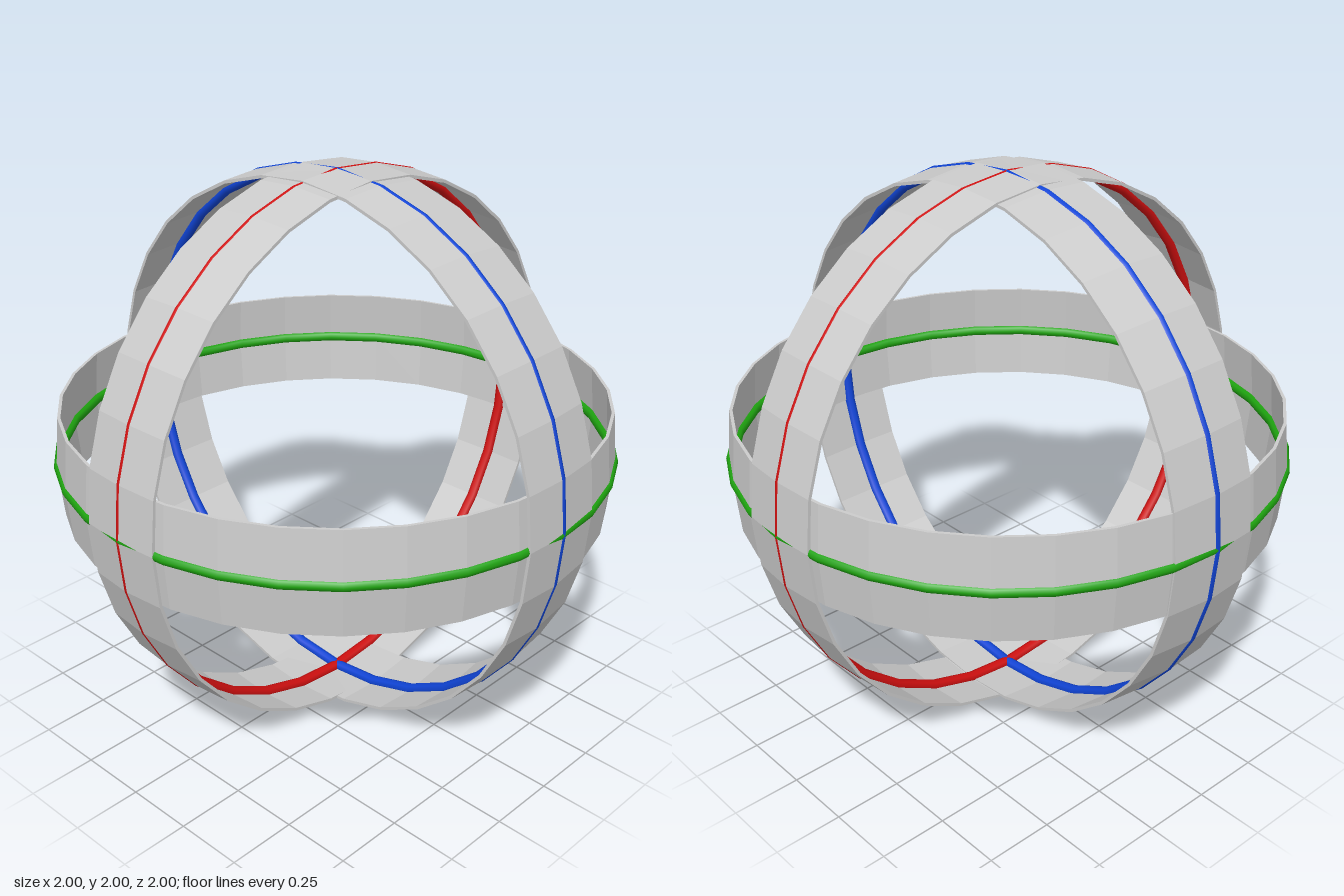
import * as THREE from 'three';

const SEGMENTS = 32;
const THICKNESS = 0.011;

function material(name, color, options = {}) {
  const m = new THREE.MeshStandardMaterial({ color, ...options });
  m.name = name;
  return m;
}

export function createModel() {
  const model = new THREE.Group();
  model.name = 'ringSphere';
  const grey = material('bandGrey', 0xcccccc, { flatShading: true, side: THREE.DoubleSide });

  // Each ring lies around one axis: a ridged grey band with a coloured tube along its middle.
  // low / high are [offset along the axis, radius] of the band's two edges.
  const rings = [
    { name: 'horizontal', mat: material('green', 0x1fa510), rotation: [0, 0, 0],
      low: [-0.187, 0.973], ridge: 0.99, high: [0.187, 0.973], shift: 0 },
    { name: 'frontFacing', mat: material('blue', 0x1045d8), rotation: [Math.PI / 2, 0, 0],
      low: [-0.187, 0.977], ridge: 0.997, high: [0.157, 0.988], shift: -0.007 },
    { name: 'sideFacing', mat: material('red', 0xd01010), rotation: [0, 0, -Math.PI / 2],
      low: [-0.157, 0.986], ridge: 0.998, high: [0.157, 0.986], shift: 0 },
  ];

  for (const { name, mat, rotation, low, ridge, high, shift } of rings) {
    const ring = new THREE.Group();
    ring.name = name + 'Ring';

    // Band: closed cross-section, up the outside and down the inside
    const outer = [low, [0, ridge], high];
    const inner = outer.map(([y, r]) => [y, r - THICKNESS]).reverse();
    const profile = [...outer, ...inner, low].map(([y, r]) => new THREE.Vector2(r, y));
    const band = new THREE.Mesh(new THREE.LatheGeometry(profile, SEGMENTS), grey);
    band.name = name + 'Band';

    // Tube, barely breaking through the ridge and standing proud inside
    const tubeGeometry = new THREE.TorusGeometry(0.98, 0.02, 8, SEGMENTS);
    tubeGeometry.rotateX(Math.PI / 2).translate(0, shift, 0);
    const tube = new THREE.Mesh(tubeGeometry, mat);
    tube.name = name + 'Tube';

    ring.add(band, tube);
    ring.rotation.set(...rotation);
    ring.position.y = 1;
    model.add(ring);
  }
  return model;
}
